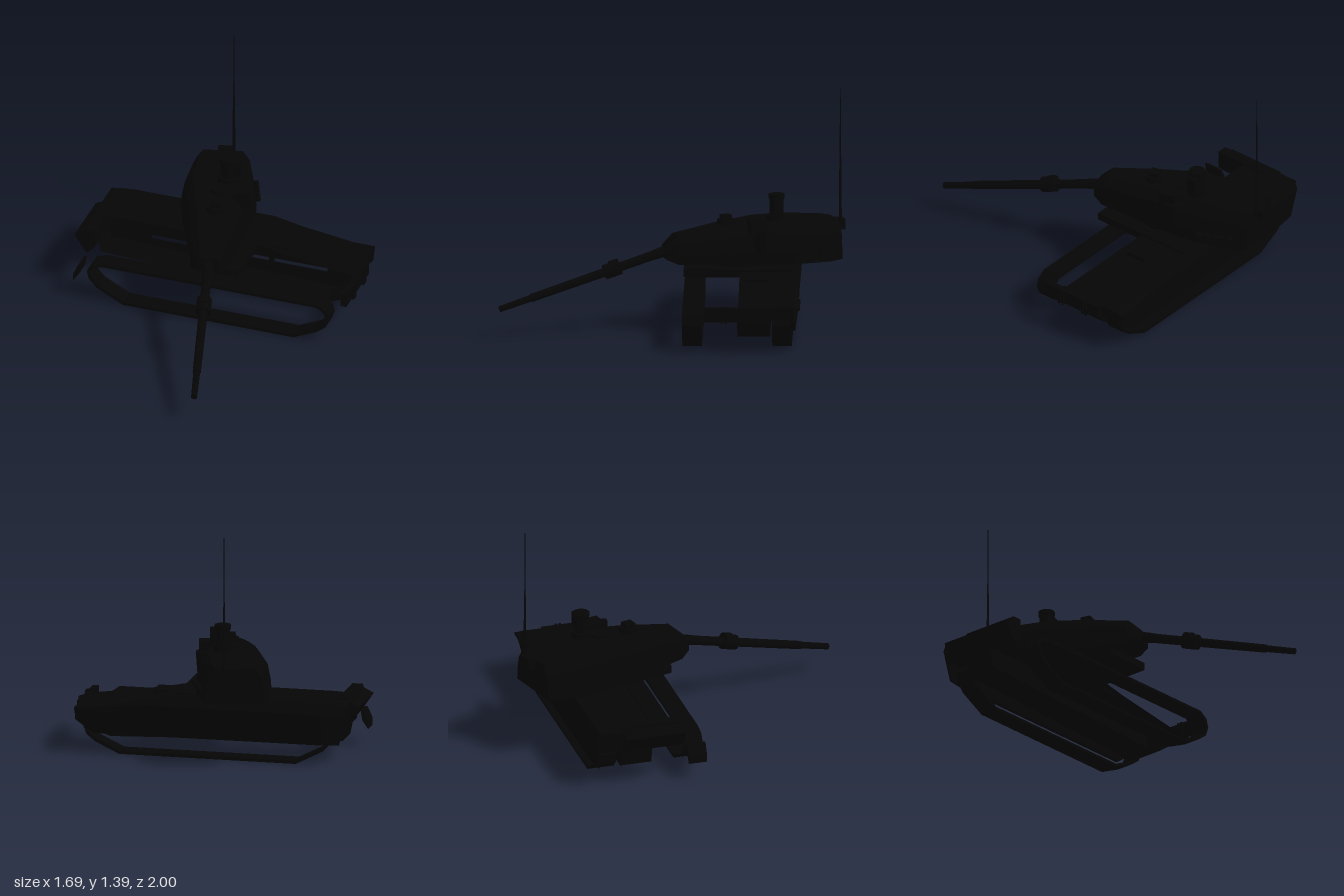
import * as THREE from 'three';

const paint = new THREE.MeshStandardMaterial({ color: 0x050505, side: THREE.DoubleSide });
paint.name = 'matte black';

function add(parent, name, geo, x = 0, y = 0, z = 0) {
  const m = new THREE.Mesh(geo, paint);
  m.name = name;
  m.position.set(x, y, z);
  parent.add(m);
  return m;
}

// box given by its min and max corners
function block(parent, name, x0, x1, y0, y1, z0, z1) {
  return add(parent, name, new THREE.BoxGeometry(x1 - x0, y1 - y0, z1 - z0), (x0 + x1) / 2, (y0 + y1) / 2, (z0 + z1) / 2);
}

// side profile in x,y swept from z0 to z1, with optional holes
function slab(parent, name, pts, z0, z1, holes = []) {
  const s = new THREE.Shape(pts.map(p => new THREE.Vector2(...p)));
  s.holes = holes.map(h => new THREE.Path(h.map(p => new THREE.Vector2(...p))));
  return add(parent, name, new THREE.ExtrudeGeometry(s, { depth: z1 - z0, bevelEnabled: false }), 0, 0, z0);
}

// flat-shaded skin joining rows of points
function skin(rows) {
  const pos = [];
  for (let i = 0; i + 1 < rows.length; i++) {
    for (let j = 0; j + 1 < rows[i].length; j++) {
      const a = rows[i][j], b = rows[i][j + 1], c = rows[i + 1][j + 1], d = rows[i + 1][j];
      pos.push(...a, ...b, ...c, ...a, ...c, ...d);
    }
  }
  const g = new THREE.BufferGeometry();
  g.setAttribute('position', new THREE.Float32BufferAttribute(pos, 3));
  g.computeVertexNormals();
  return g;
}

// tapered rod between two points
function rod(parent, name, a, b, r0, r1, sides = 14) {
  const A = new THREE.Vector3(...a), B = new THREE.Vector3(...b), d = B.clone().sub(A);
  const m = add(parent, name, new THREE.CylinderGeometry(r1, r0, d.length(), sides));
  m.position.copy(A).add(B).multiplyScalar(0.5);
  m.quaternion.setFromUnitVectors(new THREE.Vector3(0, 1, 0), d.normalize());
  return m;
}

function buildHull() {
  const hull = new THREE.Group();
  hull.name = 'hull';

  // deck and side skirt with a turned-in lower lip: x, deck height, skirt bottom, outer z
  const stations = [
    [-0.80, 0.36, 0.30, -0.73], [-0.76, 0.37, 0.13, -0.735], [-0.66, 0.375, 0.127, -0.745],
    [0.2, 0.375, 0.125, -0.745], [0.38, 0.34, 0.125, -0.745], [0.70, 0.295, 0.125, -0.745], [0.806, 0.28, 0.2, -0.745],
  ];
  add(hull, 'deckAndSkirt', skin(stations.map(([x, top, low, z]) => [
    [x, top, -0.395], [x, top, z + 0.025], [x, Math.min(0.31, top - 0.015), z], [x, low, z + 0.02], [x, low, -0.702],
  ])));
  block(hull, 'sponsonFloor', -0.76, 0.78, 0.262, 0.27, -0.725, -0.575);

  // belly tub, its wall pierced by narrow slots
  const belly = [[-0.80, 0.36], [-0.75, 0.125], [0.63, 0.075], [0.71, 0.1], [0.78, 0.15], [0.80, 0.2], [0.80, 0.28]];
  add(hull, 'belly', skin(belly.map(([x, y]) => [[x, y, -0.39], [x, y, -0.575]])));
  const slots = [[-0.5, -0.15], [-0.12, 0.22], [0.25, 0.58]].map(([a, b]) => [[a, 0.16], [a, 0.185], [b, 0.185], [b, 0.16]]);
  slab(hull, 'tubWall', [...belly, [0.2, 0.37], [-0.66, 0.37]], -0.578, -0.572, slots);

  // end plates above the tracks
  slab(hull, 'sternPlate', [[-0.80, 0.36], [-0.775, 0.23], [-0.767, 0.23], [-0.79, 0.36]], -0.72, -0.575);
  slab(hull, 'bowPlate', [[0.80, 0.28], [0.80, 0.2], [0.79, 0.2], [0.79, 0.28]], -0.72, -0.575);
  block(hull, 'fender', 0.54, 0.806, 0.262, 0.278, -0.752, -0.735);

  // stern overhang
  slab(hull, 'sternBox', [[-0.845, 0.33], [-0.785, 0.36], [-0.78, 0.38], [-0.72, 0.38], [-0.72, 0.27], [-0.77, 0.22]], -0.57, -0.205);

  // bow light bar with paired lamp brackets
  block(hull, 'lightBar', 0.795, 0.83, 0.195, 0.278, -0.585, -0.195);
  for (const z of [-0.3, -0.325, -0.47, -0.495]) {
    block(hull, 'lampBracket', 0.785, 0.843, 0.19, 0.28, z - 0.006, z + 0.006);
  }

  // roof section under the turret, tapering forward beneath it
  const plan = new THREE.Shape([[-0.18, 0.7], [-0.18, 0.4], [-0.085, 0.07], [0.21, 0.07], [0.21, 0.7]].map(([x, back]) => new THREE.Vector2(x, back)));
  const baseGeo = new THREE.ExtrudeGeometry(plan, { depth: 0.045, bevelEnabled: false }).rotateX(-Math.PI / 2);
  add(hull, 'turretBase', baseGeo, 0, 0.34, 0);
  add(hull, 'turretRing', new THREE.CylinderGeometry(0.17, 0.17, 0.03, 32), -0.04, 0.39, -0.39);
  slab(hull, 'driverHatch', [[0.25, 0.34], [0.25, 0.362], [0.38, 0.362], [0.38, 0.33]], -0.56, -0.43);
  return hull;
}

function buildTrack(zMid) {
  const track = new THREE.Group();
  track.name = 'track';
  const outer = [
    [-0.5, 0.003], [0.55, 0.003], [0.69, 0.068], [0.745, 0.11], [0.765, 0.165], [0.75, 0.215], [0.70, 0.25],
    [-0.62, 0.25], [-0.685, 0.235], [-0.72, 0.19], [-0.71, 0.14], [-0.66, 0.085],
  ];
  // inner loop: each corner moved inward along its mean normal
  const n = outer.length;
  const inner = outer.map((p, i) => {
    const a = outer[(i + n - 1) % n], b = outer[(i + 1) % n];
    const u = new THREE.Vector2(p[0] - a[0], p[1] - a[1]).normalize();
    const v = new THREE.Vector2(b[0] - p[0], b[1] - p[1]).normalize();
    const t = u.add(v).normalize();
    return [p[0] - t.y * 0.018, p[1] + t.x * 0.018];
  });
  slab(track, 'trackBand', outer, zMid - 0.057, zMid + 0.055, [inner]);
  return track;
}

// turret in its own frame: gun towards +z
function buildTurret() {
  const turret = new THREE.Group();
  turret.name = 'turret';

  // shell sections: forward, bottom half-width, roof half-width, roof, underside
  const sections = [
    [-0.565, 0.172, 0.115, 0.61, 0.405], [-0.5, 0.185, 0.13, 0.62, 0.395], [-0.27, 0.22, 0.15, 0.63, 0.395],
    [-0.1, 0.195, 0.13, 0.63, 0.395], [0.12, 0.153, 0.095, 0.605, 0.395], [0.39, 0.1, 0.058, 0.56, 0.4],
    [0.455, 0.066, 0.045, 0.5, 0.425],
  ];
  const rows = sections.map(([f, w, t, hi, lo]) => {
    const half = [[t, hi], [w * 0.9, lo + (hi - lo) * 0.72], [w * 0.985, lo + (hi - lo) * 0.3], [w, lo]];
    return [
      ...half.map(([x, y]) => [x, y, f]),
      ...half.reverse().map(([x, y]) => [-x, y, f]),
      [t, hi, f],
    ];
  });
  const cap = (row, f) => row.map(() => [0, 0.47, f]);
  add(turret, 'turretShell', skin([cap(rows[0], -0.565), ...rows, cap(rows[6], 0.46)]));

  // gun, drooping forward
  const at = (f, lift = 0) => [0, 0.475 - (f - 0.42) * 0.3 + lift, f];
  rod(turret, 'mantlet', at(0.38), at(0.52), 0.034, 0.029);
  rod(turret, 'barrel', at(0.42), at(1.25), 0.028, 0.024);
  rod(turret, 'muzzle', at(1.24), at(1.437), 0.02, 0.018);
  rod(turret, 'boreEvacuator', at(0.72), at(0.81), 0.044, 0.044);
  rod(turret, 'evacuatorCrown', at(0.725, 0.012), at(0.775, 0.012), 0.042, 0.042);

  // roof fittings
  block(turret, 'gunnerSight', 0.10, 0.195, 0.56, 0.66, -0.115, -0.015);
  add(turret, 'sightDrum', new THREE.CylinderGeometry(0.06, 0.05, 0.14, 16), 0.155, 0.53, -0.09);
  add(turret, 'frontHatch', new THREE.CylinderGeometry(0.05, 0.055, 0.03, 16), 0.01, 0.625, 0.09);
  block(turret, 'frontPeriscope', -0.02, 0.04, 0.62, 0.665, 0.06, 0.12);
  add(turret, 'rearHatch', new THREE.CylinderGeometry(0.055, 0.055, 0.02, 6), 0.02, 0.635, -0.1);

  // panoramic periscope
  add(turret, 'periscopeBase', new THREE.CylinderGeometry(0.055, 0.06, 0.04, 16), 0.06, 0.645, -0.2);
  add(turret, 'periscopeHead', new THREE.CylinderGeometry(0.04, 0.04, 0.12, 16), 0.06, 0.705, -0.2);
  add(turret, 'periscopeCap', new THREE.CylinderGeometry(0.048, 0.048, 0.025, 16), 0.06, 0.772, -0.2);
  block(turret, 'periscopeSide', 0.09, 0.135, 0.68, 0.765, -0.22, -0.17);

  // smoke launchers on the right-hand flank of the bustle
  for (let i = 0; i < 5; i++) {
    const f = -0.48 + i * 0.045, w = 0.17 + i * 0.007;
    rod(turret, 'smokeLauncher', [w, 0.45, f], [w + 0.04, 0.47, f + 0.025], 0.013, 0.013, 8);
  }

  // bustle box and whip antenna
  block(turret, 'bustleBox', -0.03, 0.06, 0.555, 0.615, -0.612, -0.555);
  rod(turret, 'antennaBase', [0.062, 0.6, -0.58], [0.062, 0.98, -0.58], 0.009, 0.006, 8);
  rod(turret, 'antennaTip', [0.062, 0.97, -0.58], [0.062, 1.39, -0.58], 0.005, 0.002, 6);

  turret.position.set(-0.05, 0, -0.395);
  turret.rotation.y = 0.262;
  return turret;
}

export function createModel() {
  const model = new THREE.Group();
  model.name = 'tank';
  const outerTrack = buildTrack(-0.125);
  slab(outerTrack, 'mudFlap', [[-0.805, 0.105], [-0.77, 0.155], [-0.76, 0.215], [-0.775, 0.215], [-0.805, 0.15]], -0.18, -0.07);
  model.add(buildHull(), outerTrack, buildTrack(-0.645), buildTurret());
  return model;
}
